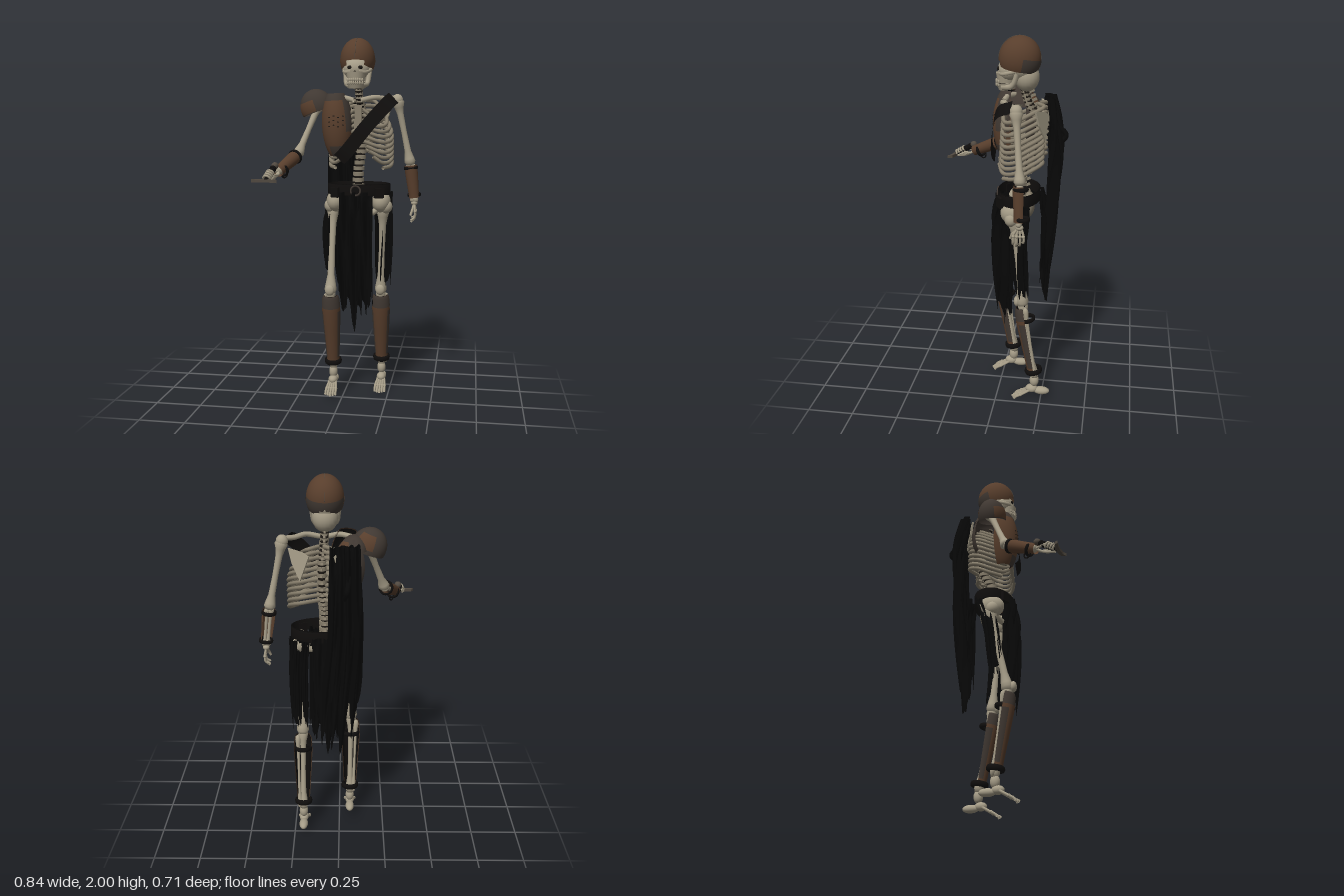
import * as THREE from 'three';

const mat = (name, color) => {
  const m = new THREE.MeshStandardMaterial({ color, side: THREE.DoubleSide });
  m.name = name;
  return m;
};
const V = (a) => new THREE.Vector3(...a);
const UP = new THREE.Vector3(0, 1, 0);

export function createModel() {
  const root = new THREE.Group();
  const M = {
    bone: mat('bone', 0xa59c87), oldBone: mat('old bone', 0x857c6a), rust: mat('rusty plate', 0x583e2c),
    steel: mat('dull steel', 0x403832), cloth: mat('black cloth', 0x080808), leather: mat('dark leather', 0x100e0d),
    socket: mat('dark socket', 0x1c1814), hilt: mat('hilt metal', 0x514940),
  };
  const add = (name, geo, m, pos = [0, 0, 0], rot = [0, 0, 0], scale = [1, 1, 1]) => {
    const mesh = new THREE.Mesh(geo, m);
    mesh.name = name;
    mesh.position.set(...pos);
    mesh.rotation.set(...rot);
    mesh.scale.set(...scale);
    root.add(mesh);
    return mesh;
  };
  const ball = (name, p, s, m = M.bone) => add(name, new THREE.SphereGeometry(1, 20, 14), m, p, [0, 0, 0], s);
  const tube = (name, pts, r, m = M.bone, n = 16) =>
    add(name, new THREE.TubeGeometry(new THREE.CatmullRomCurve3(pts.map(V)), n, r, 7), m);
  // Lathe of [radius, fraction] pairs laid between two points
  const spin = (name, a, b, profile, m, start = 0, arc = Math.PI * 2) => {
    const d = V(b).sub(V(a)), L = d.length();
    const geo = new THREE.LatheGeometry(profile.map(([r, t]) => new THREE.Vector2(r, t * L)), 18, start, arc);
    const mesh = add(name, geo, m, a);
    mesh.quaternion.setFromUnitVectors(UP, d.normalize());
    return mesh;
  };
  // Long bone with knobbed ends
  const bone = (name, a, b, r, m = M.bone) => spin(name, a, b, [[0, -0.04], [1.5 * r, -0.02], [1.9 * r, 0.03], [1.4 * r, 0.1],
    [r, 0.2], [0.85 * r, 0.5], [r, 0.8], [1.5 * r, 0.92], [1.7 * r, 0.97], [1.2 * r, 1.02], [0, 1.03]], m);
  const strap = (name, p, dir, r, t = 0.006) => {
    const mesh = add(name, new THREE.TorusGeometry(r, t, 8, 24), M.leather, p);
    mesh.quaternion.setFromUnitVectors(new THREE.Vector3(0, 0, 1), V(dir).normalize());
    mesh.scale.z = 1.8;
    return mesh;
  };
  // Piece of a sphere, for plates and the patches on them
  const shell = (name, p, s, m, phi, theta, rot = [0, 0, 0]) =>
    add(name, new THREE.SphereGeometry(1, 28, 18, phi[0], phi[1], theta[0], theta[1]), m, p, rot, s);

  // Skull
  ball('cranium', [0.07, 1.865, -0.112], [0.08, 0.095, 0.095]);
  ball('skullBack', [0.07, 1.795, -0.14], [0.066, 0.075, 0.064]);
  ball('face', [0.07, 1.83, -0.05], [0.07, 0.06, 0.058]);
  add('upperJaw', new THREE.CylinderGeometry(0.054, 0.045, 0.05, 18), M.bone, [0.07, 1.79, -0.035]);
  add('chin', new THREE.CylinderGeometry(0.052, 0.042, 0.034, 18), M.bone, [0.07, 1.747, -0.037], [0.1, 0, 0]);
  add('mouth', new THREE.CylinderGeometry(0.044, 0.044, 0.012, 18), M.socket, [0.07, 1.765, -0.035]);
  ball('noseHole', [0.07, 1.808, 0.006], [0.008, 0.014, 0.006], M.socket);
  for (const s of [-1, 1]) {
    ball('eyeSocket', [0.07 + s * 0.028, 1.838, -0.001], [0.014, 0.01, 0.009], M.socket);
    tube('cheekbone', [[0.07 + s * 0.02, 1.815, 0], [0.07 + s * 0.058, 1.815, -0.025], [0.07 + s * 0.073, 1.83, -0.09]], 0.01);
    tube('jawSide', [[0.07 + s * 0.035, 1.745, -0.02], [0.07 + s * 0.056, 1.755, -0.07], [0.07 + s * 0.066, 1.82, -0.1]], 0.014);
    for (let i = 0; i < 4; i++) for (const y of [1.773, 1.757])
      ball('tooth', [0.07 + s * (0.006 + i * 0.011), y, 0.016 - i * i * 0.002], [0.006, 0.01, 0.005]);
  }

  // Helmet, lower at the back, with side flaps, a steel neck band and a seam
  const hc = [0.07, 1.885, -0.103], tilt = [-0.18, 0, 0];
  shell('helmet', hc, [0.094, 0.115, 0.107], M.rust, [0, Math.PI * 2], [0, 1.8], tilt);
  shell('helmetNeckBand', hc, [0.096, 0.117, 0.109], M.steel, [Math.PI * 1.08, Math.PI * 0.84], [1.45, 0.6], tilt);
  for (const s of [0, 1]) shell('helmetSideFlap', hc, [0.096, 0.117, 0.109], M.rust,
    [s ? Math.PI * 0.68 : -Math.PI * 0.08, Math.PI * 0.4], [1.6, 0.46], tilt);
  add('helmetSeam', new THREE.TorusGeometry(1, 0.016, 6, 32, Math.PI), M.hilt, hc, [0, Math.PI / 2, 0], [0.107, 0.1145, 0.094]);

  // Spine
  const spine = new THREE.CatmullRomCurve3([[0.075, 1.13, -0.12], [0.075, 1.28, -0.12], [0.085, 1.42, -0.19],
    [0.085, 1.58, -0.205], [0.075, 1.67, -0.15], [0.07, 1.77, -0.12]].map(V));
  for (let i = 0; i < 24; i++) {
    const p = spine.getPoint(i / 23), r = 0.034 - i * 0.0006;
    add('vertebra', new THREE.CylinderGeometry(r, r, 0.02, 12), M.oldBone, p.toArray());
    add('spinousProcess', new THREE.BoxGeometry(0.012, 0.012, 0.05), M.oldBone, [p.x, p.y - 0.006, p.z - 0.025], [0.4, 0, 0]);
  }
  add('spineCore', new THREE.TubeGeometry(spine, 30, 0.022, 8), M.socket);

  // Ribs dip at the sides and rise again to the breastbone
  for (let i = 0; i < 11; i++) {
    const t = i / 10, y = 1.665 - t * 0.28, w = 0.085 + 0.083 * Math.sin(Math.min(1, t * 1.7 + 0.1) * Math.PI / 2);
    const f = 0.02 + Math.max(0, t - 0.6) * 0.2, x = 0.088;
    for (const s of [-1, 1]) {
      const pts = [[x + s * 0.012, y, -0.205], [x + s * w * 0.6, y - 0.005, -0.237], [x + s * w * 0.97, y - 0.04, -0.17],
        [x + s * w, y - 0.075, -0.1], [x + s * w * 0.78, y - 0.085, -0.04]];
      if (t < 0.95) pts.push([x + s * f, y - 0.05, -0.012 - (1 - t) * 0.015]);
      tube('rib', pts, 0.0105, M.oldBone, 24);
    }
  }
  add('sternum', new THREE.BoxGeometry(0.04, 0.21, 0.016), M.oldBone, [0.085, 1.535, -0.018], [-0.06, 0, 0]);

  // Shoulder girdle
  tube('leftClavicle', [[0.1, 1.665, -0.02], [0.17, 1.68, -0.035], [0.23, 1.675, -0.08], [0.29, 1.68, -0.115]], 0.014);
  tube('rightClavicle', [[0.06, 1.665, -0.02], [0, 1.68, -0.035], [-0.07, 1.675, -0.07], [-0.13, 1.67, -0.085]], 0.014);
  for (const [x, s] of [[0.185, 1], [-0.01, -1]]) {
    const sh = new THREE.Shape([[0, 0.07], [0.075, 0.085], [0.055, 0.01], [0.01, -0.075], [-0.04, 0.05]].map(([a, b]) => new THREE.Vector2(a * s, b)));
    add('shoulderBlade', new THREE.ExtrudeGeometry(sh, { depth: 0.01, bevelEnabled: false }), M.bone, [x, 1.575, -0.25], [0.1, -s * 0.45, 0]);
  }

  // Left arm, hanging
  ball('leftShoulderJoint', [0.288, 1.665, -0.115], [0.031, 0.034, 0.031]);
  bone('leftUpperArm', [0.29, 1.66, -0.115], [0.36, 1.32, -0.145], 0.018);
  bone('leftForearmInner', [0.352, 1.31, -0.145], [0.376, 1.11, -0.145], 0.009);
  bone('leftForearmOuter', [0.372, 1.31, -0.145], [0.392, 1.11, -0.145], 0.009);
  spin('leftBracer', [0.362, 1.31, -0.145], [0.383, 1.13, -0.148], [[0.034, 0], [0.035, 0.25], [0.029, 0.85], [0.029, 1]], M.rust, -2, 4);
  strap('leftBracerTopStrap', [0.363, 1.295, -0.15], [0.1, -1, 0], 0.034);
  strap('leftBracerLowStrap', [0.382, 1.145, -0.163], [0.1, -1, 0], 0.032);
  ball('leftWrist', [0.384, 1.1, -0.148], [0.018, 0.015, 0.02]);
  for (let i = 0; i < 4; i++) {
    const z = -0.118 - i * 0.017, l = [0.085, 0.095, 0.092, 0.075][i];
    tube('leftFinger', [[0.385, 1.095, -0.148 + (z + 0.144) * 0.4], [0.39, 1.06, z], [0.387, 1.055 - l * 0.4, z], [0.368, 1.09 - l, z + 0.006]], 0.0065);
    ball('leftKnuckle', [0.391, 1.055, z], [0.009, 0.009, 0.009]);
  }
  tube('leftThumb', [[0.382, 1.09, -0.14], [0.375, 1.06, -0.11], [0.367, 1.035, -0.1]], 0.007);

  // Right arm, reaching forward
  const elbow = [-0.238, 1.375, 0.025], wrist = [-0.306, 1.295, 0.2], fore = [-0.068, -0.08, 0.175];
  ball('rightShoulderJoint', [-0.14, 1.645, -0.085], [0.034, 0.034, 0.034]);
  bone('rightUpperArm', [-0.14, 1.645, -0.085], elbow, 0.018);
  bone('rightForearm', elbow, wrist, 0.013);
  spin('rightBracer', elbow, wrist, [[0.034, 0.1], [0.036, 0.3], [0.029, 0.9], [0.029, 1.02]], M.rust);
  strap('rightBracerTopStrap', [-0.248, 1.363, 0.05], fore, 0.035);
  strap('rightBracerLowStrap', [-0.292, 1.3, 0.165], fore, 0.031);
  add('rightBracerRing', new THREE.TorusGeometry(0.022, 0.004, 6, 18), M.leather, [-0.285, 1.28, 0.15], [0, 1, 0]);

  // Hilt held in the right hand
  const p0 = [-0.322, 1.325, 0.21], p1 = [-0.345, 1.255, 0.322];
  const at = (t) => p0.map((v, i) => v + (p1[i] - v) * t);
  ball('pommel', p0, [0.019, 0.019, 0.019], M.hilt);
  spin('grip', p0, p1, [[0.011, 0], [0.014, 0.4], [0.011, 1]], M.leather);
  for (let i = 0; i < 5; i++) strap('gripWrap', at(0.2 + i * 0.14), [-0.023, -0.07, 0.112], 0.014, 0.004);
  const g = new THREE.Shape([[-0.07, 0.02], [-0.06, 0.002], [0, -0.012], [0.06, 0.002], [0.072, 0.03], [0.052, 0.018],
    [0.015, 0.012], [-0.015, 0.012], [-0.05, 0.016]].map((a) => new THREE.Vector2(...a)));
  add('crossguard', new THREE.ExtrudeGeometry(g, { depth: 0.016, bevelEnabled: false }), M.hilt, [-0.346, 1.264, 0.32], [Math.PI / 2, 0, 0.12]);
  for (let i = 0; i < 4; i++) {
    const f = add('rightFinger', new THREE.TorusGeometry(0.019, 0.006, 7, 16, 4.2), M.bone, at(0.5 + i * 0.12));
    f.quaternion.setFromUnitVectors(new THREE.Vector3(0, 0, 1), V([-0.023, -0.07, 0.112]).normalize());
    tube('rightPalmBone', [wrist, [-0.3 - i * 0.005, 1.28 - i * 0.005, 0.225 + i * 0.008], at(0.5 + i * 0.12).map((v, k) => v + [0.018, -0.01, 0][k])], 0.0065);
  }
  tube('rightThumb', [wrist, [-0.335, 1.295, 0.24], [-0.355, 1.29, 0.27]], 0.007);

  // Pauldron, neck plate and back plate
  const pc = [-0.15, 1.628, -0.075], pr = [0, 0, 0.35];
  shell('pauldron', pc, [0.092, 0.1, 0.078], M.steel, [0, Math.PI * 2], [0, 1.85], pr);
  shell('pauldronRustPatch', pc, [0.094, 0.102, 0.08], M.rust, [0.4, 1.2], [1.15, 0.65], pr);
  shell('pauldronBackPatch', pc, [0.094, 0.102, 0.08], M.rust, [3.8, 1.1], [0.8, 0.8], pr);
  shell('neckPlate', [-0.075, 1.605, -0.1], [0.075, 0.09, 0.1], M.steel, [0, Math.PI * 2], [0, 1.3], [0, 0, 0.1]);
  shell('backPlate', [-0.06, 1.55, -0.13], [0.085, 0.14, 0.08], M.steel, [Math.PI, Math.PI * 0.8], [0.3, 2.1]);
  shell('backPlateRust', [-0.06, 1.55, -0.13], [0.087, 0.142, 0.082], M.rust, [Math.PI * 1.1, 1], [0.5, 0.4]);

  // Breastplate on the right side with rusted-through holes
  const bc = [-0.032, 1.53, -0.045], bs = [0.084, 0.2, 0.096], br = [0, 0, 0.06];
  const grow = (d) => bs.map((v) => v + d);
  shell('breastplate', bc, bs, M.rust, [-0.3, Math.PI + 0.4], [0.55, 1.98], br);
  shell('breastplateLining', bc, grow(-0.003), M.leather, [-0.3, Math.PI + 0.4], [0.55, 1.98], br);
  shell('breastplateTopPatch', bc, grow(0.002), M.steel, [-0.3, Math.PI + 0.4], [0.55, 0.3], br);
  shell('breastplateSidePatch', bc, grow(0.002), M.steel, [2.3, 0.9], [0.85, 0.9], br);
  shell('breastplateLowPatch', bc, grow(0.002), M.steel, [1, 2.2], [2.15, 0.38], br);
  for (let i = 0; i < 12; i++) {
    const dx = -0.03 + (i % 4) * 0.024, dy = Math.floor(i / 4) * 0.024 - 0.005 + (i % 2) * 0.008;
    const z = bs[2] * Math.sqrt(1 - (dx / bs[0]) ** 2 - (dy / bs[1]) ** 2);
    ball('rustHole', [bc[0] + dx, bc[1] + dy, bc[2] + z], [0.006, 0.003, 0.003], M.socket);
  }

  // Flat chest strap following a path
  const chestPath = new THREE.CatmullRomCurve3([[0.27, 1.68, -0.09], [0.245, 1.65, -0.02], [0.14, 1.53, 0.026], [0.03, 1.39, 0.045], [-0.01, 1.35, 0.035]].map(V));
  const strip = new THREE.PlaneGeometry(1, 1, 1, 24), sp = strip.attributes.position;
  for (let i = 0; i < sp.count; i++) {
    const p = chestPath.getPoint(0.5 - sp.getY(i)), o = sp.getX(i) * 0.075;
    sp.setXYZ(i, p.x + o * 0.75, p.y - o * 0.68, p.z);
  }
  strip.computeVertexNormals();
  add('chestStrap', strip, M.leather);

  // Pelvis and belt
  for (const [x, s] of [[-0.05, -1], [0.205, 1]]) {
    ball('hipBone', [x, 1.11, -0.095], [0.052, 0.062, 0.07]);
    ball('hipJoint', [x + s * 0.025, 1.085, -0.085], [0.038, 0.04, 0.036]);
    tube('sitBone', [[x, 1.09, -0.09], [x - s * 0.05, 1.05, -0.06], [0.08, 1.06, -0.045]], 0.017);
  }
  ball('sacrum', [0.075, 1.12, -0.16], [0.05, 0.07, 0.03], M.oldBone);
  add('belt', new THREE.LatheGeometry([[0.97, -0.032], [1.03, -0.028], [1.03, 0.028], [0.97, 0.032], [0.97, -0.032]].map((a) => new THREE.Vector2(...a)), 40),
    M.leather, [0.08, 1.18, -0.108], [0, 0, 0], [0.17, 1, 0.108]);
  add('buckle', new THREE.TorusGeometry(0.026, 0.005, 8, 24), M.steel, [0.075, 1.178, 0.006]);
  for (const x of [-0.04, 0.2]) add('beltPouch', new THREE.BoxGeometry(0.05, 0.055, 0.03), M.leather, [x, 1.165, -0.025], [0, x < 0 ? -0.5 : 0.5, 0]);

  // Folded cloth with a torn hem, hung along a centre line
  const cloth = (name, pts, w0, w1, amp, yaw, tear, folds = 3) => {
    const path = new THREE.CatmullRomCurve3(pts.map(V)), geo = new THREE.PlaneGeometry(1, 1, 40, 28), a = geo.attributes.position;
    for (let i = 0; i < a.count; i++) {
      const u = a.getX(i) + 0.5, v = 0.5 - a.getY(i);
      const hem = Math.abs(((u * folds + 0.15) % 1) - 0.5) * 2 * tear + tear * 0.5 * (0.5 + 0.5 * Math.sin(u * 9 + 1)) + 0.015 * Math.sin(u * 61);
      const p = path.getPoint(Math.min(1, Math.max(0, v * (1 - Math.max(0, hem))))), o = (u - 0.5) * (w0 + (w1 - w0) * v);
      const z = amp * (0.65 * Math.sin(u * folds * 6.28 + v * 2.5) + 0.35 * Math.sin(u * 31 - v * 6));
      a.setXYZ(i, p.x + o * Math.cos(yaw) + z * Math.sin(yaw), p.y, p.z - o * Math.sin(yaw) + z * Math.cos(yaw));
    }
    geo.computeVertexNormals();
    add(name, geo, M.cloth);
  };
  cloth('cape', [[-0.03, 1.68, -0.25], [-0.03, 1.46, -0.295], [-0.03, 1.2, -0.285], [0.0, 0.85, -0.255], [0.03, 0.46, -0.22]], 0.15, 0.2, 0.034, 0, 0.18, 4);
  cloth('capeInnerFold', [[-0.03, 1.67, -0.24], [-0.04, 1.4, -0.27], [-0.03, 1.1, -0.27], [0.0, 0.65, -0.235]], 0.13, 0.19, 0.025, 0, 0.25);
  tube('capeFoldCorner', [[-0.05, 1.53, -0.28], [-0.04, 1.47, -0.338], [-0.03, 1.42, -0.29]], 0.014, M.cloth);
  cloth('backCloth', [[0.05, 1.18, -0.225], [0.05, 1.0, -0.245], [0.05, 0.6, -0.235]], 0.18, 0.16, 0.016, 0, 0.22);
  cloth('frontCloth', [[0.075, 1.17, -0.002], [0.075, 1.02, 0.008], [0.075, 0.7, -0.01], [0.075, 0.36, -0.02]], 0.18, 0.19, 0.03, 0, 0.22);
  cloth('frontClothLining', [[0.08, 1.16, -0.02], [0.08, 0.9, -0.04], [0.085, 0.42, -0.045]], 0.17, 0.17, 0.026, 0, 0.16, 4);
  cloth('rightHipCloth', [[-0.075, 1.14, -0.13], [-0.09, 1.0, -0.09], [-0.085, 0.62, -0.045]], 0.07, 0.06, 0.02, -0.9, 0.18, 2);
  cloth('rightHipBackCloth', [[-0.06, 1.15, -0.165], [-0.075, 1.0, -0.12], [-0.07, 0.68, -0.07]], 0.08, 0.07, 0.014, -0.4, 0.2, 2);
  cloth('leftHipCloth', [[0.24, 1.16, -0.14], [0.23, 0.95, -0.13], [0.22, 0.52, -0.145]], 0.08, 0.08, 0.018, 0.9, 0.16, 2);
  cloth('leftHipBackCloth', [[0.2, 1.15, -0.165], [0.205, 0.95, -0.155], [0.2, 0.58, -0.168]], 0.09, 0.08, 0.014, 0.2, 0.18, 2);

  // Legs with open-backed greaves
  const legs = [['right', [-0.065, 1.075, -0.1], [-0.065, 0.61, 0.0], [-0.06, 0.16, -0.068], 0.028, -0.065],
    ['left', [0.215, 1.075, -0.1], [0.2, 0.59, -0.145], [0.2, 0.15, -0.215], 0.008, -0.215]];
  const greave = [[0.036, 0], [0.035, 0.08], [0.045, 0.5], [0.051, 0.78], [0.046, 0.96], [0.038, 1]];
  for (const [n, hip, knee, ankle, toeY, z] of legs) {
    const x = ankle[0], shin = V(ankle).sub(V(knee)).toArray(), on = (t, dz = 0) => knee.map((v, i) => v + shin[i] * t + (i === 2 ? dz : 0));
    bone(n + 'Thigh', hip, knee, 0.02);
    ball(n + 'Kneecap', [knee[0], knee[1] + 0.015, knee[2] + 0.03], [0.026, 0.03, 0.018]);
    bone(n + 'Shin', knee, ankle, 0.015);
    bone(n + 'CalfBone', on(0.06).map((v, i) => v + [x < 0 ? -0.028 : 0.028, 0, -0.015][i]), on(0.98).map((v, i) => v + [x < 0 ? -0.02 : 0.02, 0, -0.008][i]), 0.008);
    // The greave is laid from the ankle up, so its open side faces back
    spin(n + 'Greave', on(0.93), on(0.04), greave, M.rust, -1.65, 3.3);
    spin(n + 'GreaveLining', on(0.93), on(0.04), greave.map(([r, t]) => [r - 0.003, t]), M.leather, -1.65, 3.3);
    spin(n + 'GreaveTopPatch', on(0.93), on(0.04), [[0.0518, 0.83], [0.0475, 0.96], [0.0395, 1]], M.steel, -1.65, 3.3);
    for (const a of [-1.65, 0.9]) spin(n + 'GreaveSidePatch', on(0.93), on(0.04), [[0.0365, 0.08], [0.0465, 0.5], [0.0525, 0.78]], M.steel, a, 0.75);
    strap(n + 'GreaveTopStrap', on(0.2, -0.008), shin, 0.042, 0.007);
    strap(n + 'GreaveLowStrap', on(0.92), shin, 0.04, 0.009);
    // Foot
    ball(n + 'Ankle', [x, ankle[1] - 0.03, z], [0.024, 0.036, 0.026]);
    ball(n + 'Heel', [x, toeY + 0.05, z - 0.04], [0.024, 0.022, 0.046]);
    ball(n + 'Instep', [x, toeY + 0.06, z + 0.015], [0.026, 0.024, 0.034]);
    for (let i = -2; i <= 2; i++) {
      const end = z + 0.125 - Math.abs(i) * 0.008;
      tube(n + 'Toe', [[x + i * 0.008, toeY + 0.06, z + 0.015], [x + i * 0.013, toeY + 0.028, z + 0.07], [x + i * 0.014, toeY + 0.012, z + 0.1], [x + i * 0.014, toeY, end]], 0.007);
      ball(n + 'ToeJoint', [x + i * 0.013, toeY + 0.026, z + 0.075], [0.009, 0.009, 0.01]);
    }
  }
  return root;
}
